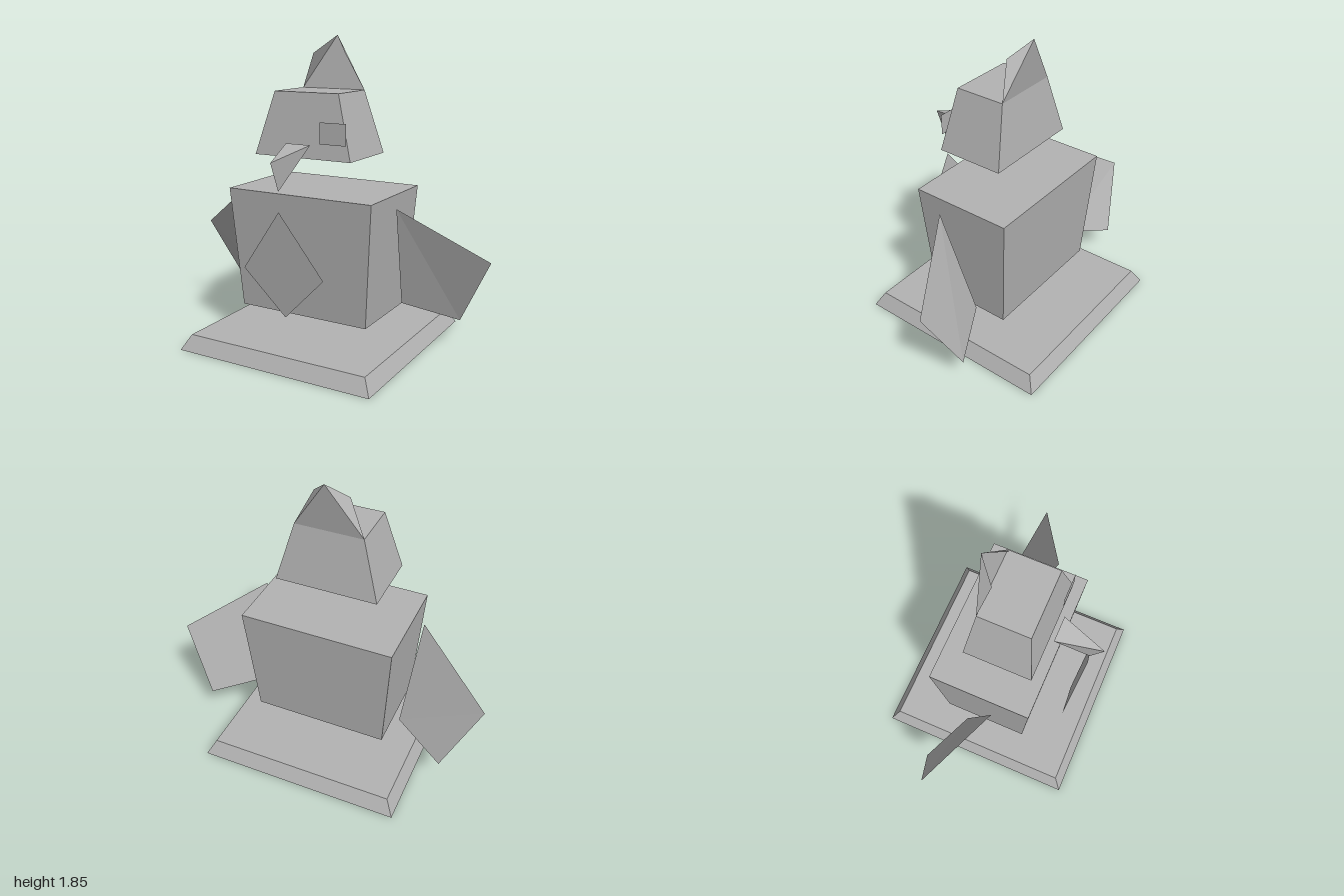
import * as THREE from 'three';

const grey = new THREE.MeshStandardMaterial({ color: 0xb2b2b2 });
grey.name = 'plain grey';
grey.side = THREE.DoubleSide;
grey.flatShading = true;

// Faceted mesh from a few corners; each face is a fan of corner indices
function facets(name, corners, faces) {
  const pos = [];
  for (const f of faces)
    for (let i = 1; i < f.length - 1; i++)
      pos.push(...corners[f[0]], ...corners[f[i]], ...corners[f[i + 1]]);
  const geo = new THREE.BufferGeometry();
  geo.setAttribute('position', new THREE.Float32BufferAttribute(pos, 3));
  geo.computeVertexNormals();
  const mesh = new THREE.Mesh(geo, grey);
  mesh.name = name;
  return mesh;
}

// Tapered block between two rectangles { y, x (half width), back, front }
function taperedBlock(name, low, high, closedBottom) {
  const ring = ({ y, x, back, front }) =>
    [[-x, y, front], [x, y, front], [x, y, back], [-x, y, back]];
  const faces = [[4, 5, 6, 7]];
  for (let i = 0; i < 4; i++) {
    const j = (i + 1) % 4;
    faces.push([i, j, j + 4, i + 4]);
  }
  if (closedBottom) faces.push([3, 2, 1, 0]);
  return facets(name, [...ring(low), ...ring(high)], faces);
}

export function createModel() {
  const model = new THREE.Group();
  model.name = 'blockyBird';

  // Stacked blocks, the upper two open underneath
  model.add(
    taperedBlock('base',
      { y: 0, x: 0.63, back: -0.63, front: 0.63 },
      { y: 0.09, x: 0.58, back: -0.58, front: 0.58 }, true),
    taperedBlock('body',
      { y: 0.215, x: 0.42, back: -0.265, front: 0.265 },
      { y: 0.95, x: 0.472, back: -0.315, front: 0.315 }, false),
    taperedBlock('head',
      { y: 1.16, x: 0.315, back: -0.157, front: 0.263 },
      { y: 1.53, x: 0.21, back: -0.105, front: 0.21 }, false));

  // Flat wings, mirrored
  for (const s of [1, -1]) {
    model.add(facets(s > 0 ? 'leftWing' : 'rightWing', [
      [s * 0.525, 0.893, 0.105], [s * 0.475, 0.265, -0.105],
      [s * 0.79, 0.163, -0.263], [s, 0.58, -0.157],
    ], [s > 0 ? [0, 1, 2, 3] : [3, 2, 1, 0]]));
  }

  // Belly diamond floating in front of the body
  model.add(facets('bellyPatch', [
    [0, 0.895, 0.505], [-0.263, 0.53, 0.47], [0, 0.265, 0.445], [0.263, 0.53, 0.47],
  ], [[0, 1, 2, 3]]));

  // Beak: upper corners, tip and lower point
  model.add(facets('beak', [
    [-0.08, 1.245, 0.298], [0.08, 1.245, 0.298], [0, 1.18, 0.578], [0, 1.01, 0.505],
  ], [[0, 2, 1], [0, 3, 2], [1, 2, 3], [0, 1, 3]]));

  // Single eye plate
  model.add(facets('leftEye', [
    [0.125, 1.25, 0.27], [0.292, 1.25, 0.27], [0.292, 1.373, 0.27], [0.125, 1.373, 0.27],
  ], [[0, 1, 2, 3]]));

  // Crest: back triangle with two folded side flaps
  model.add(facets('crest', [
    [0, 1.845, -0.157], [-0.21, 1.53, -0.105], [0.21, 1.53, -0.105],
    [-0.107, 1.74, -0.055], [0.107, 1.74, -0.055],
  ], [[0, 2, 1], [0, 1, 3], [0, 4, 2]]));

  return model;
}
